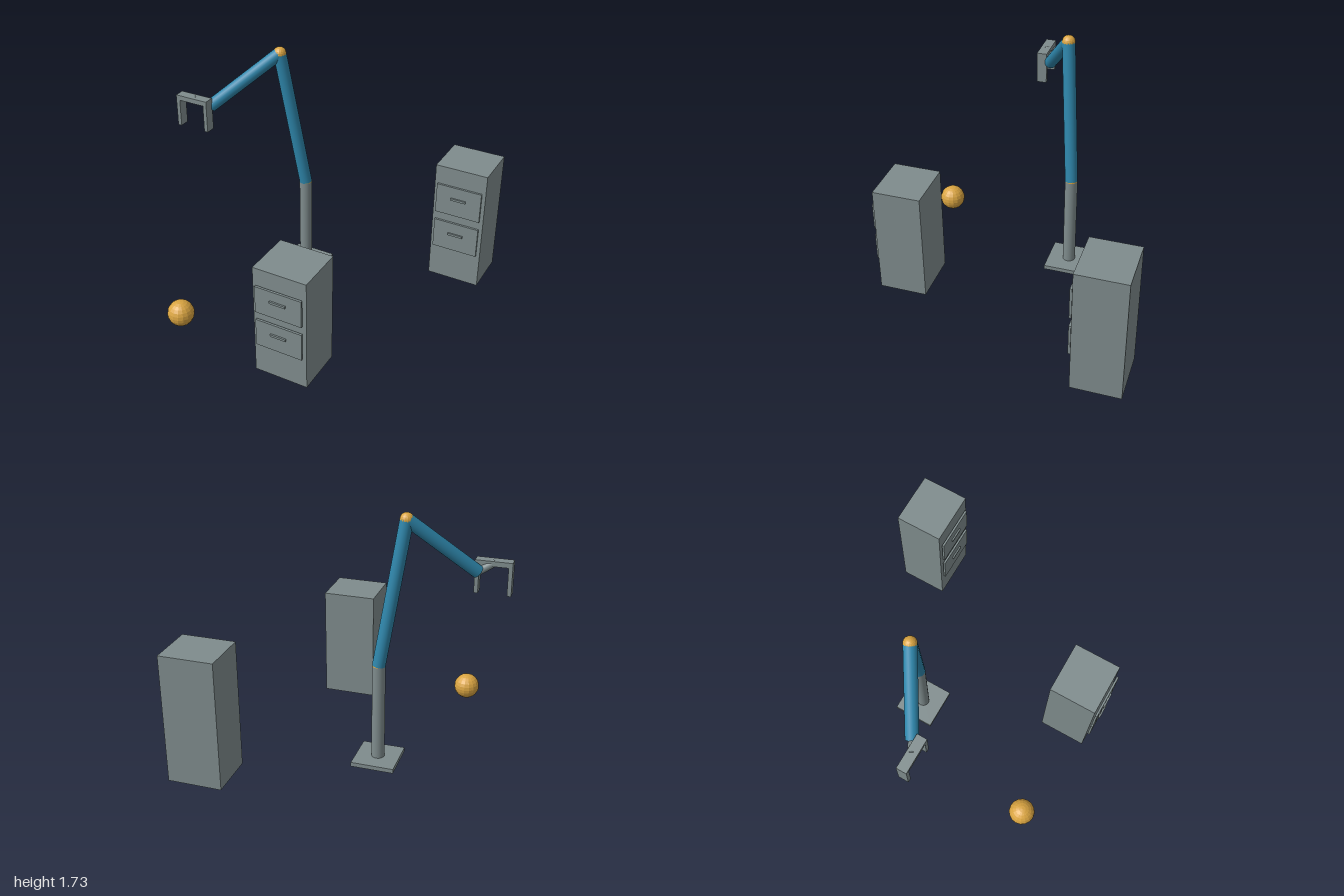
import * as THREE from 'three';

export function createModel() {
  const model = new THREE.Group();
  model.name = 'robotArmCell';

  const material = (name, color, flatShading = false) => {
    const m = new THREE.MeshStandardMaterial({ color, flatShading });
    m.name = name;
    return m;
  };
  const grey = material('steel grey', 0x7f8c8d);
  const blue = material('arm blue', 0x2e86ab);
  const gold = material('joint gold', 0xd9a441, true);

  const add = (parent, name, geometry, mat) => {
    const mesh = new THREE.Mesh(geometry, mat);
    mesh.name = name;
    parent.add(mesh);
    return mesh;
  };

  // Box given by its low and high corners
  const box = (parent, name, [x0, y0, z0], [x1, y1, z1], mat) =>
    add(parent, name, new THREE.BoxGeometry(x1 - x0, y1 - y0, z1 - z0), mat)
      .position.set((x0 + x1) / 2, (y0 + y1) / 2, (z0 + z1) / 2);

  const ball = (parent, name, centre, radius) =>
    add(parent, name, new THREE.SphereGeometry(radius, 16, 12), gold).position.copy(centre);

  // Round bar between two points
  const up = new THREE.Vector3(0, 1, 0);
  const bar = (parent, name, a, b, radius, mat) => {
    const dir = b.clone().sub(a);
    const mesh = add(parent, name, new THREE.CylinderGeometry(radius, radius, dir.length(), 24), mat);
    mesh.position.copy(a).add(b).multiplyScalar(0.5);
    mesh.quaternion.setFromUnitVectors(up, dir.normalize());
  };

  // Robot arm
  const arm = new THREE.Group();
  arm.name = 'robotArm';
  model.add(arm);
  const foot = new THREE.Vector3(-0.227, 0.03, -0.277);
  const shoulder = new THREE.Vector3(-0.227, 0.703, -0.277);
  const elbow = new THREE.Vector3(-0.372, 1.682, -0.193);
  const wrist = new THREE.Vector3(-0.784, 1.302, 0.043);
  const grip = new THREE.Vector3(-0.88, 1.355, 0.1);

  box(arm, 'basePlate', [-0.373, 0, -0.423], [-0.081, 0.03, -0.131], grey);
  bar(arm, 'column', foot, shoulder, 0.044, grey);
  ball(arm, 'shoulderJoint', shoulder, 0.044);
  bar(arm, 'upperArm', shoulder, elbow, 0.044, blue);
  ball(arm, 'elbowJoint', elbow, 0.045);
  bar(arm, 'forearm', elbow, wrist, 0.044, blue);
  bar(arm, 'wristLink', wrist, grip, 0.025, grey);

  // Gripper with two fingers
  box(arm, 'gripperPalm', [-1, 1.338, 0.066], [-0.757, 1.373, 0.137], grey);
  for (const x of [-1, -0.784])
    box(arm, 'gripperFinger', [x, 1.147, 0.066], [x + 0.027, 1.338, 0.137], grey);

  // Drawer cabinets; drawers are [bottom, top] heights
  const cabinet = (name, x, front, height, drawers) => {
    const group = new THREE.Group();
    group.name = name;
    model.add(group);
    box(group, 'cabinetBody', [x - 0.187, 0, front - 0.337], [x + 0.187, height, front], grey);
    for (const [y0, y1] of drawers) {
      const mid = (y0 + y1) / 2 + 0.02;
      box(group, 'drawerFront', [x - 0.163, y0, front + 0.007], [x + 0.163, y1, front + 0.022], grey);
      box(group, 'drawerHandle', [x - 0.055, mid - 0.008, front + 0.022], [x + 0.055, mid + 0.008, front + 0.033], grey);
    }
  };
  cabinet('frontCabinet', 0.258, 0.914, 0.797, [[0.228, 0.425], [0.483, 0.677]]);
  cabinet('rearCabinet', 0.81, -0.61, 0.902, [[0.257, 0.479], [0.544, 0.768]]);

  // Ball on the floor
  ball(model, 'floorBall', new THREE.Vector3(-0.612, 0.097, 0.775), 0.092);

  return model;
}
